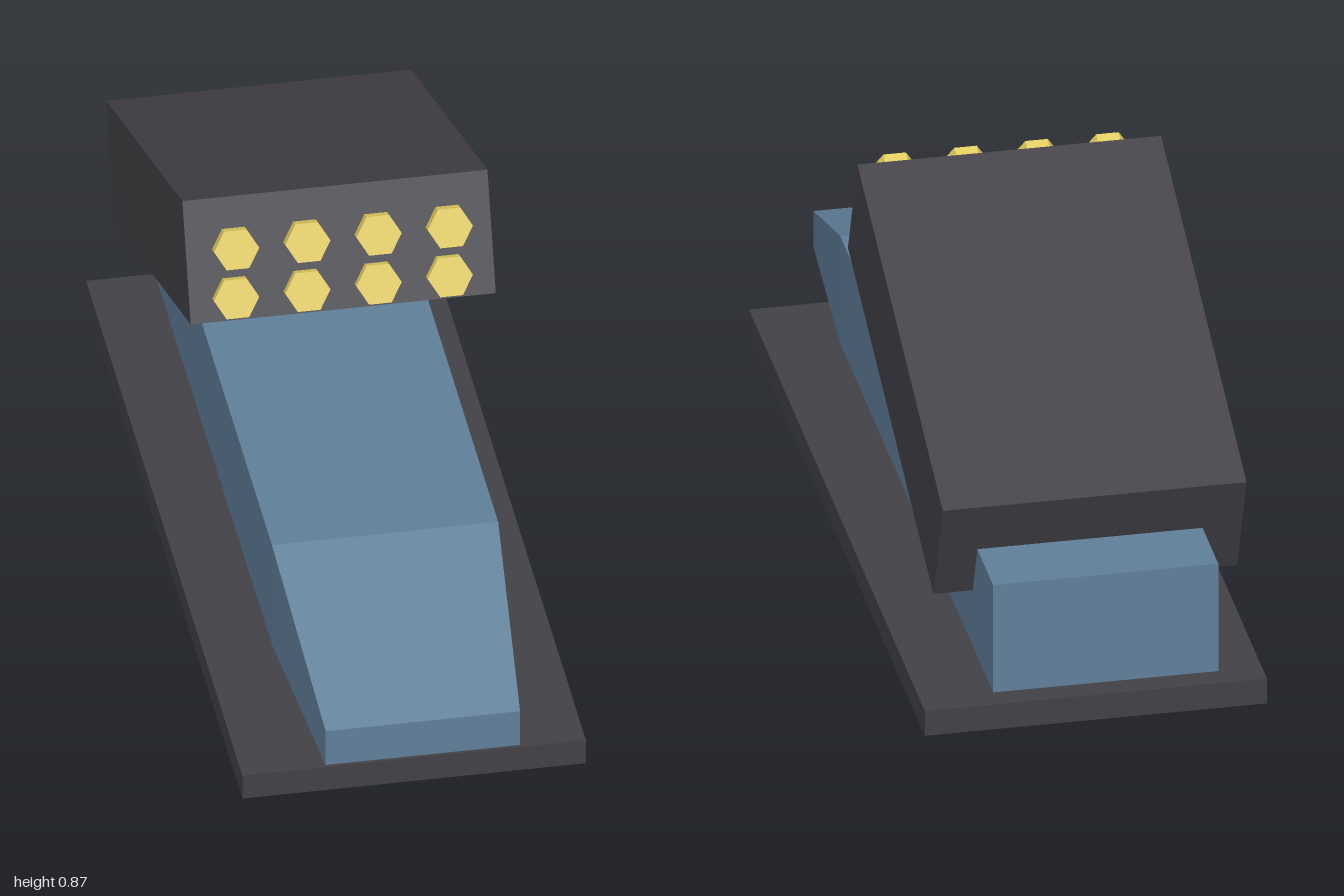
import * as THREE from 'three';

const flat = (name, color) => {
  const m = new THREE.MeshStandardMaterial({ color });
  m.name = name;
  return m;
};

// Hull lofted through rectangular sections: [z, halfWidth, bottom, top], back to front
function loftBoxes(sections) {
  const pos = [];
  const rings = sections.map(([z, w, b, t]) => [[-w, b, z], [w, b, z], [w, t, z], [-w, t, z]]);
  const quad = (a, b, c, d) => pos.push(...a, ...b, ...c, ...a, ...c, ...d);
  for (let s = 0; s < rings.length - 1; s++) {
    const p = rings[s], q = rings[s + 1];
    for (let i = 0; i < 4; i++) {
      const j = (i + 1) % 4;
      quad(p[i], p[j], q[j], q[i]);
    }
  }
  const [a, b, c, d] = rings[0];
  quad(d, c, b, a);
  quad(...rings[rings.length - 1]);
  const geo = new THREE.BufferGeometry();
  geo.setAttribute('position', new THREE.Float32BufferAttribute(pos, 3));
  geo.computeVertexNormals();
  return geo;
}

export function createModel() {
  const model = new THREE.Group();
  model.name = 'launcherVehicle';
  const steelBlue = flat('steelBlue', 0x5f7e99);
  const charcoal = flat('charcoal', 0x424046);
  const yellow = flat('yellow', 0xe0ca5e);
  const cyan = flat('cyan', 0x74bccd);

  const add = (name, geo, mat, x, y, z, tilt = 0) => {
    const mesh = new THREE.Mesh(geo, mat);
    mesh.name = name;
    mesh.position.set(x, y, z);
    mesh.rotation.x = tilt;
    model.add(mesh);
    return mesh;
  };

  // Hover base and the glow panel beneath it
  add('basePlate', new THREE.BoxGeometry(0.714, 0.057, 1.8), charcoal, 0, 0.0435, 0);
  add('glowPanel', new THREE.BoxGeometry(0.554, 0.015, 1.6), cyan, 0, 0.0075, 0);

  // Wedge-nosed hull
  add('hull', loftBoxes([
    [-1, 0.235, 0.154, 0.402],
    [0.565, 0.235, 0.154, 0.402],
    [1, 0.202, 0.148, 0.232],
  ]), steelBlue, 0, 0, 0);

  // Launcher box, muzzle end raised
  const tilt = -0.38;
  add('launcherBox', new THREE.BoxGeometry(0.634, 0.26, 0.942), charcoal, 0, 0.578, -0.402, tilt);

  // Two rows of hexagonal warheads, corners pointing sideways
  const hex = new THREE.CylinderGeometry(0.047, 0.047, 0.027, 6).toNonIndexed();
  hex.rotateY(Math.PI / 6).rotateX(Math.PI / 2);
  hex.rotateZ(0);
  // Turn so that a corner lies on the x axis
  const p = hex.attributes.position;
  let reach = 0;
  for (let i = 0; i < p.count; i++) reach = Math.max(reach, p.getX(i));
  if (reach < 0.046) hex.rotateZ(Math.PI / 6);
  hex.computeVertexNormals();
  for (const y of [0.681, 0.803]) {
    for (let i = 0; i < 4; i++) add('warhead', hex, yellow, -0.222 + i * 0.148, y, 0.074, tilt);
  }
  return model;
}
